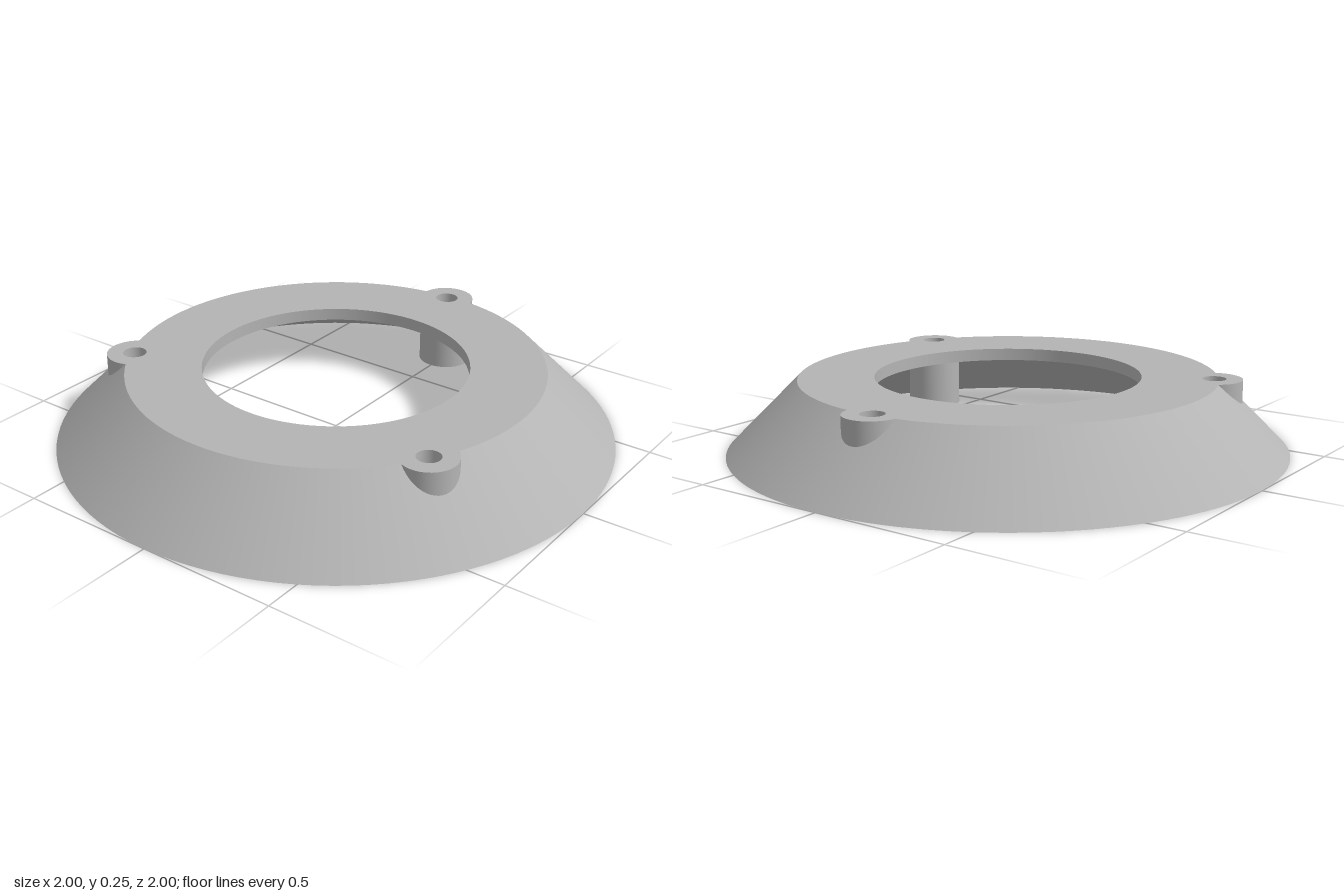
import * as THREE from 'three';
import { mergeGeometries } from 'three/addons/utils/BufferGeometryUtils.js';

const TOP = 0.255, UNDER = 0.21;          // heights of the plate's two faces
const RIM = 0.745, INNER_RIM = 0.70;      // plate radius above and below
const BASE = 1, INNER_BASE = 0.914;       // skirt radius at the ground
const OPENING = 0.475;
const BOSS_D = 0.73, BOSS_R = 0.1, BORE = 0.042;
const BOSS_ANGLES = [-90, 30, 150].map(THREE.MathUtils.degToRad);

// Circle of given radius that detours round each boss, on its outer or inner side
function outline(radius, outward) {
  const pts = [];
  const phi = Math.acos((BOSS_D ** 2 + radius ** 2 - BOSS_R ** 2) / (2 * BOSS_D * radius));
  const beta = Math.atan2(radius * Math.sin(phi), radius * Math.cos(phi) - BOSS_D);
  const end = outward ? beta : beta - 2 * Math.PI;
  const gap = 2 * Math.PI / 3 - 2 * phi;
  for (const a of BOSS_ANGLES) {
    for (let i = 0; i <= 24; i++) {
      const t = a - beta + (end + beta) * i / 24;
      pts.push(new THREE.Vector2(
        BOSS_D * Math.cos(a) + BOSS_R * Math.cos(t),
        BOSS_D * Math.sin(a) + BOSS_R * Math.sin(t)));
    }
    for (let i = 1; i < 32; i++) {
      const t = a + phi + gap * i / 32;
      pts.push(new THREE.Vector2(radius * Math.cos(t), radius * Math.sin(t)));
    }
  }
  return pts;
}

// Flat plate face, looking up or down, with round holes cut through
function plateFace(pts, y, up, bores) {
  const s = up ? -1 : 1;
  const shape = new THREE.Shape(pts.map(p => new THREE.Vector2(p.x, s * p.y)));
  const hole = (x, z, r) => shape.holes.push(new THREE.Path().absarc(x, s * z, r, 0, 2 * Math.PI, true));
  hole(0, 0, OPENING);
  if (bores) for (const a of BOSS_ANGLES) hole(BOSS_D * Math.cos(a), BOSS_D * Math.sin(a), BORE);
  return new THREE.ShapeGeometry(shape, 48).rotateX(s * Math.PI / 2).translate(0, y, 0);
}

// 45 degree cone from an outline down to the ground, with smooth normals
function skirt(pts, base, up) {
  const pos = [], nor = [], idx = [], n = pts.length, k = (up ? 1 : -1) * Math.SQRT1_2;
  pts.forEach((p, i) => {
    const r = p.length(), c = p.x / r, s = p.y / r;
    pos.push(p.x, base - r, p.y, base * c, 0, base * s);
    nor.push(k * c, k, k * s, k * c, k, k * s);
    const a = 2 * i, b = a + 1, d = 2 * ((i + 1) % n), e = d + 1;
    if (up) idx.push(a, d, b, b, d, e);
    else idx.push(a, b, d, b, e, d);
  });
  const g = new THREE.BufferGeometry();
  g.setAttribute('position', new THREE.Float32BufferAttribute(pos, 3));
  g.setAttribute('normal', new THREE.Float32BufferAttribute(nor, 3));
  g.setIndex(idx);
  return g;
}

// Revolved straight sections, each with its own normals so edges stay sharp
function revolve(sections, segments) {
  return mergeGeometries(sections.map(s =>
    new THREE.LatheGeometry(s.map(([r, y]) => new THREE.Vector2(r, y)), segments)));
}

export function createModel() {
  const group = new THREE.Group();
  const grey = new THREE.MeshStandardMaterial({ color: 0xb4b4b4, side: THREE.DoubleSide });
  grey.name = 'grey';
  const add = (name, geometry) => {
    const mesh = new THREE.Mesh(geometry, grey);
    mesh.name = name;
    group.add(mesh);
    return mesh;
  };

  // Plate and skirt, outside and inside
  const outer = outline(RIM, true);
  add('plateTop', plateFace(outer, TOP, true, true));
  add('skirtOutside', skirt(outer, BASE, true));
  add('plateUnderside', plateFace(outline(INNER_RIM, false), UNDER, false, false));
  add('skirtInside', skirt(outline(INNER_RIM, true), INNER_BASE, false));

  // Wall of the central opening and the foot of the skirt
  add('openingWall', revolve([[[OPENING, TOP], [OPENING, UNDER]]], 96));
  add('footRing', revolve([[[INNER_BASE, 0], [BASE, 0]]], 128));

  // Three screw bosses: outer wall, bottom ring and bore
  const boss = revolve([
    [[BOSS_R, 0], [BOSS_R, TOP]],
    [[BORE, 0], [BOSS_R, 0]],
    [[BORE, TOP], [BORE, 0]],
  ], 48);
  for (const a of BOSS_ANGLES) {
    add('screwBoss', boss).position.set(BOSS_D * Math.cos(a), 0, BOSS_D * Math.sin(a));
  }
  return group;
}
